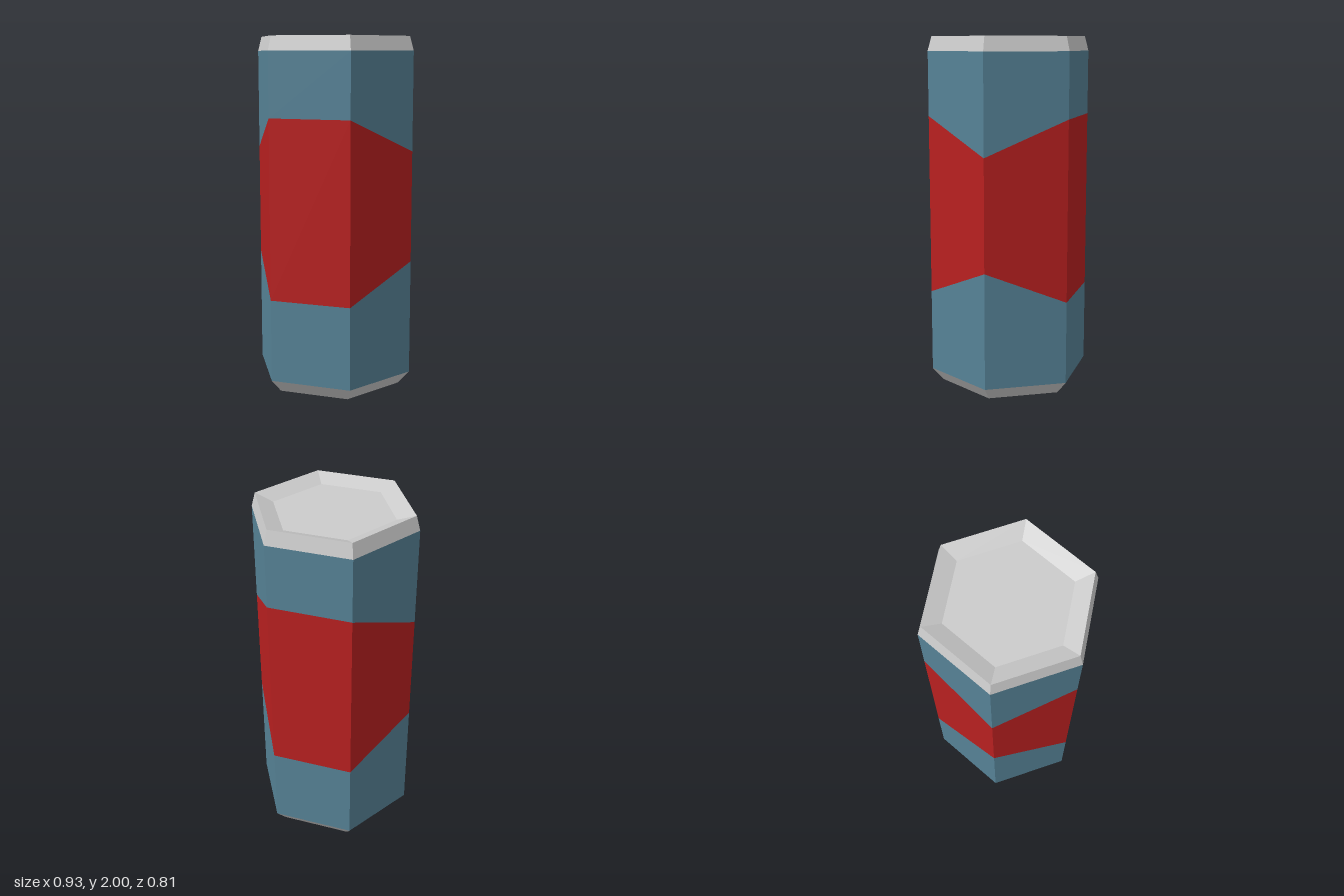
import * as THREE from 'three';

const SIDES = 6;
const BODY = 0.465;

// A ring is [radius, y at the front and back corners, y at the left and right corners].
function corner([radius, y, ySide = y], k) {
  const a = (k * Math.PI * 2) / SIDES;
  return [radius * Math.cos(a), k % 3 === 0 ? ySide : y, radius * Math.sin(a)];
}

// Joins consecutive hexagonal rings with flat faces; a ring of radius 0 closes the end.
function hexPart(name, color, rings) {
  const pos = [];
  for (let i = 0; i < rings.length - 1; i++) {
    const [lo, hi] = [rings[i], rings[i + 1]];
    for (let k = 0; k < SIDES; k++) {
      const a = corner(lo, k), b = corner(lo, k + 1);
      const c = corner(hi, k), d = corner(hi, k + 1);
      if (lo[0] > 0) pos.push(...b, ...a, ...c);
      if (hi[0] > 0) pos.push(...b, ...c, ...d);
    }
  }
  const geometry = new THREE.BufferGeometry();
  geometry.setAttribute('position', new THREE.Float32BufferAttribute(pos, 3));
  geometry.computeVertexNormals();
  const material = new THREE.MeshStandardMaterial({ color, flatShading: true });
  const mesh = new THREE.Mesh(geometry, material);
  mesh.name = name;
  return mesh;
}

export function createModel() {
  const group = new THREE.Group();
  group.name = 'hexagonalCanister';

  const blue = 0x568296, red = 0xb82020, grey = 0xcccccc;
  const bottomEdge = [BODY, 0.075];
  const bandBottom = [BODY, 0.545, 0.735];
  const bandTop = [BODY, 1.56, 1.365];
  const topEdge = [BODY, 1.92];

  group.add(
    // chamfered foot with a flat underside
    hexPart('base', grey, [[0, 0], [0.4, 0], bottomEdge]),
    // body with a red band that narrows at the left and right corners
    hexPart('lowerBody', blue, [bottomEdge, bandBottom]),
    hexPart('band', red, [bandBottom, bandTop]),
    hexPart('upperBody', blue, [bandTop, topEdge]),
    // chamfered rim sloping down to a shallow recessed lid
    hexPart('lid', grey, [topEdge, [0.443, 2], [0.34, 1.962], [0, 1.962]])
  );
  return group;
}
